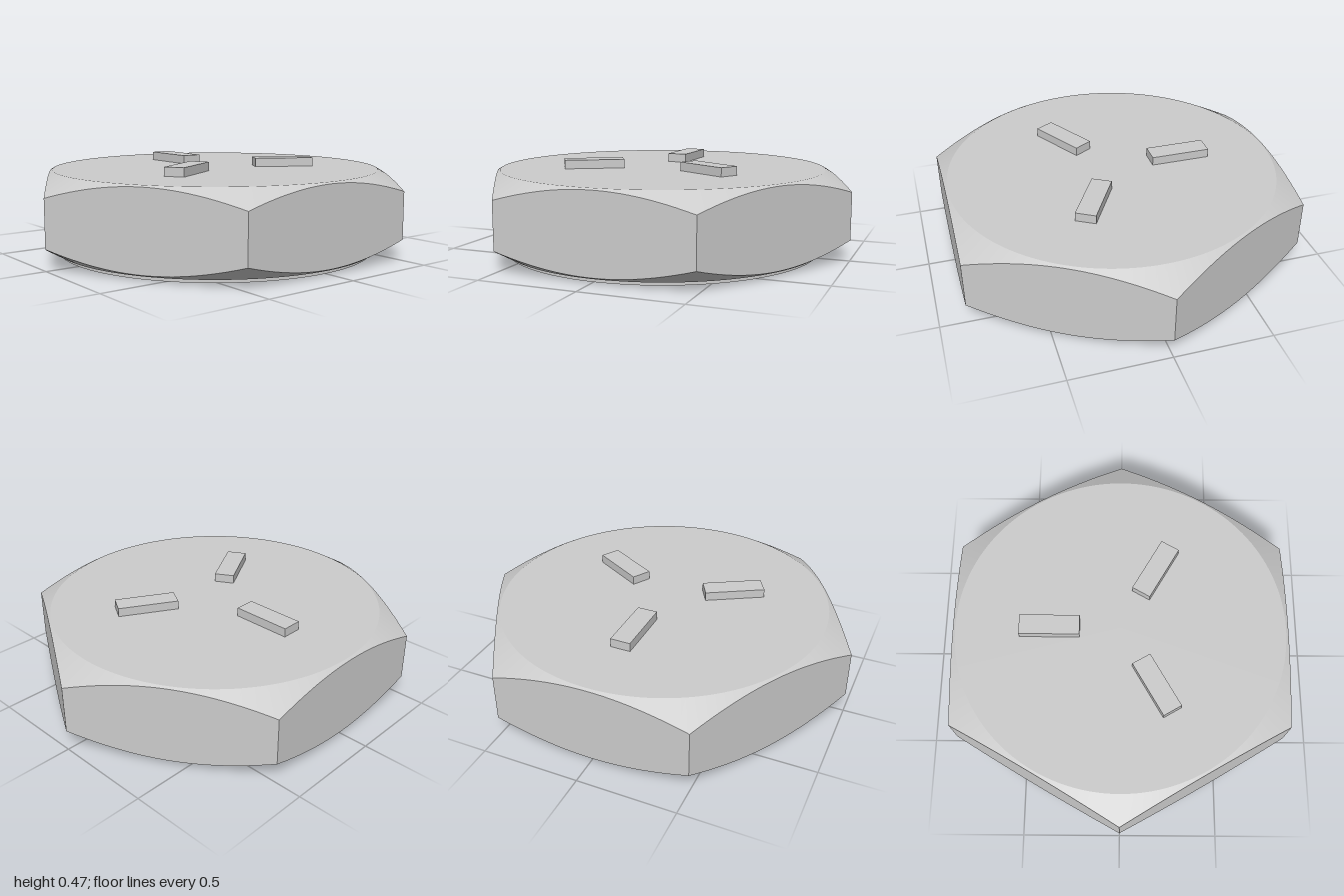
import * as THREE from 'three';
import { toCreasedNormals } from 'three/addons/utils/BufferGeometryUtils.js';

const SEGMENTS = 144;
const APOTHEM = Math.sqrt(3) / 2; // hexagon with corners at radius 1
const FACE_RADIUS = 0.853; // flat round face inside the chamfer
const BOTTOM = 0.02, TOP = 0.43;
const CHAMFER = Math.tan(Math.PI / 6);

// Distance from the axis to the hexagon's side, corners on the z axis
function hexRadius(t) {
  const step = Math.PI / 3;
  return APOTHEM / Math.cos(t - Math.round(t / step) * step);
}

// Hexagonal body whose corners are cut by a shallow cone above and below
function hexBody() {
  const rings = [
    () => [0, BOTTOM],
    () => [FACE_RADIUS, BOTTOM],
    (t) => [hexRadius(t), BOTTOM + (hexRadius(t) - FACE_RADIUS) * CHAMFER],
    (t) => [hexRadius(t), TOP - (hexRadius(t) - FACE_RADIUS) * CHAMFER],
    () => [FACE_RADIUS, TOP],
    () => [0, TOP],
  ];
  const positions = [];
  const point = (ring, i) => {
    const t = ((i % SEGMENTS) / SEGMENTS) * Math.PI * 2;
    const [r, y] = rings[ring](t);
    return [r * Math.cos(t), y, r * Math.sin(t)];
  };
  for (let k = 0; k < rings.length - 1; k++) {
    for (let i = 0; i < SEGMENTS; i++) {
      const a = point(k, i), b = point(k, i + 1);
      const c = point(k + 1, i + 1), d = point(k + 1, i);
      if (k < rings.length - 2) positions.push(...a, ...d, ...b);
      else positions.push(...a, ...d, ...b); // top fan
      if (k > 0 && k < rings.length - 2) positions.push(...b, ...d, ...c);
      if (k === 0) positions.splice(-9, 9, ...a, ...d, ...c); // bottom fan
    }
  }
  const geometry = new THREE.BufferGeometry();
  geometry.setAttribute('position', new THREE.Float32BufferAttribute(positions, 3));
  return toCreasedNormals(geometry, 0.35);
}

export function createModel() {
  const group = new THREE.Group();
  const material = new THREE.MeshStandardMaterial({ color: 0xcccccc });
  const add = (name, geometry) => {
    const mesh = new THREE.Mesh(geometry, material);
    mesh.name = name;
    group.add(mesh);
    return mesh;
  };

  add('hexHead', hexBody());

  // Thin round bearing face underneath
  add('washerFace', new THREE.CylinderGeometry(0.83, 0.83, BOTTOM, 96)).position.y = BOTTOM / 2;

  // Three raised radial grade marks on the top
  for (let i = 0; i < 3; i++) {
    const angle = Math.PI + (i * Math.PI * 2) / 3;
    const mark = add('gradeMark' + (i + 1), new THREE.BoxGeometry(0.31, 0.045, 0.104));
    mark.position.set(0.365 * Math.cos(angle), TOP + 0.0225, 0.365 * Math.sin(angle));
    mark.rotation.y = -angle;
  }
  return group;
}
